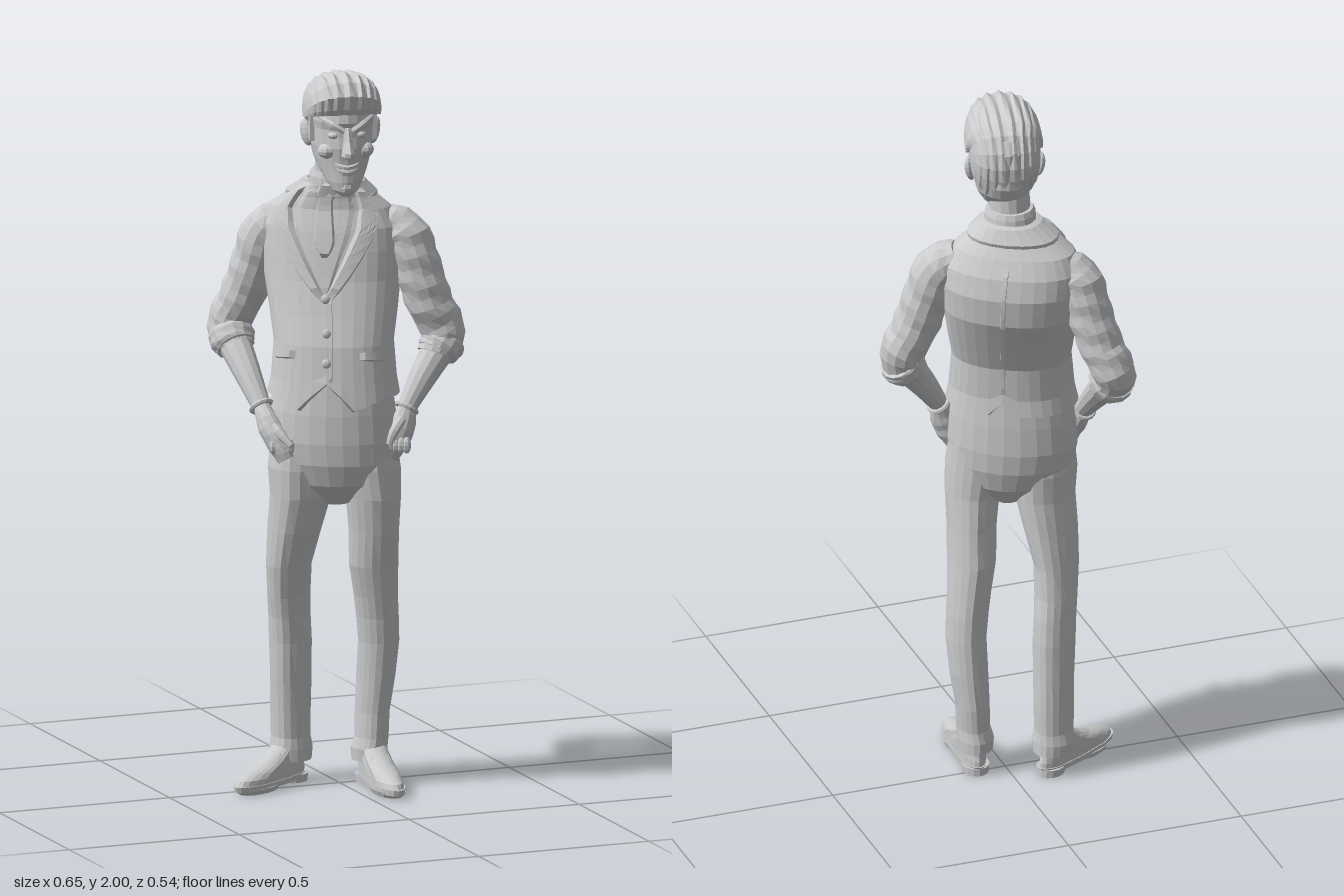
import * as THREE from 'three';

const mat = new THREE.MeshStandardMaterial({ color: 0xcccccc, flatShading: true, side: THREE.DoubleSide });
const V = (x, y, z) => new THREE.Vector3(x, y, z);
const YAW = -0.55, S = Math.sin(YAW), C = Math.cos(YAW);

function add(parent, name, geo) {
  const m = new THREE.Mesh(geo, mat);
  m.name = name;
  parent.add(m);
  return m;
}

// Skin over closed rings of points, with fan caps at both ends
function skin(rings, capped = true) {
  const n = rings[0].length, pos = [], idx = [];
  rings.forEach(r => r.forEach(p => pos.push(p.x, p.y, p.z)));
  for (let i = 0; i < rings.length - 1; i++) for (let j = 0; j < n; j++) {
    const a = i * n + j, b = i * n + (j + 1) % n;
    idx.push(a, b, a + n, b, b + n, a + n);
  }
  if (capped) [0, rings.length - 1].forEach(i => {
    const c = rings[i].reduce((s, p) => s.add(p), V(0, 0, 0)).divideScalar(n), k = pos.length / 3;
    pos.push(c.x, c.y, c.z);
    for (let j = 0; j < n; j++) {
      const a = i * n + j, b = i * n + (j + 1) % n;
      i ? idx.push(k, a, b) : idx.push(k, b, a);
    }
  });
  const g = new THREE.BufferGeometry();
  g.setAttribute('position', new THREE.Float32BufferAttribute(pos, 3));
  g.setIndex(idx);
  g.computeVertexNormals();
  return g;
}

// Horizontal rings from rows [y, cx, cz, rx, rz]; tweak scales the radius by angle and row
function stack(rows, n = 20, yaw = 0, tweak = () => 1) {
  const s = Math.sin(yaw), c = Math.cos(yaw);
  return skin(rows.map(([y, cx, cz, rx, rz], i) => Array.from({ length: n }, (_, j) => {
    const f = j / n * Math.PI * 2, k = tweak(f, i), x = rx * Math.sin(f) * k, z = rz * Math.cos(f) * k;
    return V(cx + x * c + z * s, y, cz - x * s + z * c);
  })));
}

// Limb along a curve through rows [x, y, z, radius]; fold adds cloth wrinkles
function limb(rows, n = 12, steps = 16, fold = 0, flat = 1) {
  const curve = new THREE.CatmullRomCurve3(rows.map(r => V(r[0], r[1], r[2])));
  const fr = curve.computeFrenetFrames(steps);
  return skin(Array.from({ length: steps + 1 }, (_, i) => {
    const t = i / steps, u = t * (rows.length - 1), k = Math.min(Math.floor(u), rows.length - 2);
    const r = THREE.MathUtils.lerp(rows[k][3], rows[k + 1][3], u - k), p = curve.getPoint(t);
    return Array.from({ length: n }, (_, j) => {
      const f = j / n * Math.PI * 2, q = r * (1 + fold * Math.sin(i * 2.3 + f * 2));
      return p.clone().addScaledVector(fr.normals[i], Math.cos(f) * q * flat).addScaledVector(fr.binormals[i], Math.sin(f) * q);
    });
  }));
}

// Torso profile rows: y, cx, cz, half width, half depth
const TORSO = [
  [1.04, -0.04, 0.05, 0.187, 0.132], [1.15, -0.037, 0.05, 0.172, 0.124], [1.25, -0.033, 0.04, 0.164, 0.12],
  [1.33, -0.022, 0.012, 0.175, 0.124], [1.42, -0.012, -0.02, 0.187, 0.13], [1.5, -0.008, -0.033, 0.192, 0.126],
  [1.56, -0.01, -0.036, 0.19, 0.112], [1.61, -0.014, -0.034, 0.166, 0.09], [1.645, -0.015, -0.022, 0.12, 0.078],
  [1.68, -0.015, -0.006, 0.078, 0.072], [1.7, -0.015, 0.0, 0.07, 0.07]];

function torsoPoint(f, y, off = 0) {
  let k = 0;
  while (k < TORSO.length - 2 && TORSO[k + 1][0] < y) k++;
  const A = TORSO[k], B = TORSO[k + 1], t = (y - A[0]) / (B[0] - A[0]);
  const [, cx, cz, a, b] = A.map((v, i) => v + (B[i] - v) * t);
  const sup = v => Math.sign(v) * Math.abs(v) ** 0.88;
  const x = (a + off) * sup(Math.sin(f)), z = (b + off) * sup(Math.cos(f));
  return V(cx + x * C + z * S, y + off * 0.4, cz - x * S + z * C);
}

// Cloth patch on the torso between two edges of [angle, y]; its border tucks into the body
function patch(left, right, off) {
  const at = (e, t) => {
    const u = t * (e.length - 1), k = Math.min(Math.floor(u), e.length - 2);
    return e[k].map((v, i) => v + (e[k + 1][i] - v) * (u - k));
  };
  const g = new THREE.PlaneGeometry(1, 1, 6, 14), p = g.attributes.position;
  for (let i = 0; i < p.count; i++) {
    const u = p.getX(i) + 0.5, v = p.getY(i) + 0.5, l = at(left, v), r = at(right, v);
    const edge = Math.min(u, 1 - u, v, 1 - v) < 0.01;
    const q = torsoPoint(l[0] + (r[0] - l[0]) * u, l[1] + (r[1] - l[1]) * u, edge ? -0.002 : off);
    p.setXYZ(i, q.x, q.y, q.z);
  }
  g.computeVertexNormals();
  return g;
}
const flip = e => e.map(([f, y]) => [-f, y]);

function buildTorso(g) {
  // Waistcoat with pointed front hem and a notch at the back
  const hem = f => {
    const d = Math.abs(f > Math.PI ? f - 2 * Math.PI : f);
    if (d < 0.4) return 1.15 - d / 0.4 * 0.075;
    return d > 2.95 ? 1.145 : 1.075 + Math.min(1, (d - 0.4) / 0.5) * 0.03;
  };
  const ys = [1.2, 1.25, 1.29, 1.33, 1.375, 1.42, 1.46, 1.5, 1.53, 1.56, 1.585, 1.61, 1.628, 1.645, 1.663, 1.68];
  const ring = (yf, off) => Array.from({ length: 32 }, (_, j) => torsoPoint(j / 16 * Math.PI, yf(j / 16 * Math.PI), off));
  add(g, 'waistcoat', skin([ring(hem, -0.02), ring(hem, 0.003), ring(f => (hem(f) + 1.2) / 2, 0), ...ys.map(y => ring(() => y, 0))]));
  // Shirt opening, tie, lapels and collar
  const inner = [[0, 1.38], [0.25, 1.5], [0.5, 1.6], [0.75, 1.675]];
  add(g, 'shirtFront', patch(flip(inner), inner, 0.003));
  const tie = [[0.02, 1.48], [0.13, 1.52], [0.12, 1.6], [0.12, 1.64], [0.24, 1.655], [0.24, 1.69]];
  add(g, 'tie', patch(flip(tie), tie, 0.012));
  const lapel = [[0.04, 1.36], [0.4, 1.45], [0.8, 1.56], [0.95, 1.6], [0.78, 1.605], [0.95, 1.635], [1.2, 1.67]];
  add(g, 'leftLapel', patch(inner, lapel, 0.01));
  add(g, 'rightLapel', patch(flip(inner), flip(lapel), 0.01));
  add(g, 'backCollar', patch([[1.1, 1.64], [3.14, 1.635], [5.18, 1.64]], [[1.1, 1.69], [3.14, 1.69], [5.18, 1.69]], 0.009));
  add(g, 'shirtCollar', stack([[1.65, -0.015, 0, 0.074, 0.074], [1.7, -0.016, 0.003, 0.07, 0.068], [1.715, -0.016, 0.004, 0.064, 0.063]], 16, YAW));
  // Front edge, back seam, pocket welts and buttons
  add(g, 'frontEdge', patch([[0.03, 1.15], [0.03, 1.38]], [[0.07, 1.15], [0.07, 1.38]], 0.004));
  add(g, 'backSeam', patch([[3.12, 1.16], [3.12, 1.6]], [[3.17, 1.16], [3.17, 1.6]], 0.003));
  for (const s of [-1, 1]) add(g, 'pocketWelt', patch([[s * 0.5, 1.215], [s * 0.5, 1.238]], [[s * 1.1, 1.205], [s * 1.1, 1.228]], 0.008));
  for (const y of [1.375, 1.285, 1.205]) {
    const b = add(g, 'button', new THREE.SphereGeometry(0.013, 10, 6));
    b.position.copy(torsoPoint(0, y, 0.005));
    b.scale.z = 0.6;
    b.rotation.y = YAW;
  }
}

function buildLegs(g) {
  add(g, 'trouserSeat', stack([[0.8, -0.03, 0.055, 0.04, 0.05], [0.86, -0.032, 0.055, 0.135, 0.1], [0.92, -0.036, 0.053, 0.172, 0.118],
    [0.98, -0.04, 0.05, 0.18, 0.123], [1.06, -0.04, 0.05, 0.174, 0.12], [1.17, -0.037, 0.05, 0.156, 0.11]], 24, YAW));
  // Trouser legs with a pressed crease front and back
  const crease = (f, i) => 1 + 0.07 * Math.abs(Math.cos(f)) ** 12 + 0.018 * Math.sin(i * 2.1 + f * 3);
  add(g, 'leftTrouserLeg', stack([[0.065, 0.08, 0.02, 0.048, 0.058], [0.1, 0.079, 0.02, 0.05, 0.06], [0.13, 0.084, 0.023, 0.046, 0.055],
    [0.2, 0.088, 0.021, 0.047, 0.057], [0.3, 0.095, 0.03, 0.053, 0.059], [0.4, 0.098, 0.04, 0.056, 0.06], [0.47, 0.093, 0.047, 0.058, 0.063],
    [0.53, 0.085, 0.054, 0.06, 0.067], [0.62, 0.072, 0.066, 0.067, 0.074], [0.72, 0.067, 0.085, 0.068, 0.08], [0.82, 0.06, 0.098, 0.075, 0.085],
    [0.9, 0.05, 0.095, 0.083, 0.088], [0.98, 0.045, 0.09, 0.08, 0.085]], 20, -0.15, crease));
  add(g, 'rightTrouserLeg', stack([[0.065, -0.117, -0.066, 0.058, 0.058], [0.1, -0.117, -0.067, 0.06, 0.058], [0.13, -0.116, -0.066, 0.054, 0.054],
    [0.2, -0.117, -0.065, 0.055, 0.057], [0.3, -0.119, -0.061, 0.056, 0.06], [0.4, -0.121, -0.056, 0.058, 0.062], [0.47, -0.126, -0.05, 0.057, 0.064],
    [0.53, -0.133, -0.042, 0.058, 0.066], [0.62, -0.138, -0.025, 0.061, 0.074], [0.72, -0.13, -0.005, 0.073, 0.082], [0.82, -0.12, 0.012, 0.084, 0.088],
    [0.9, -0.12, 0.014, 0.088, 0.092], [0.98, -0.12, 0.015, 0.08, 0.085]], 20, -0.7, crease));
  // Shoes: heel, sole, upper and lace flap
  for (const [name, x, z, yaw] of [['leftShoe', 0.082, 0.02, -0.07], ['rightShoe', -0.115, -0.068, -1.02]]) {
    const shoe = new THREE.Group();
    shoe.name = name;
    shoe.position.set(x, 0, z);
    shoe.rotation.y = yaw;
    g.add(shoe);
    const waist = f => 1 - 0.13 * Math.abs(Math.sin(f)) * (Math.cos(f) < 0.3 && Math.cos(f) > -0.6 ? 1 : 0);
    add(shoe, 'sole', stack([[0.01, 0, 0.1, 0.046, 0.148], [0.026, 0, 0.098, 0.047, 0.154]], 24, 0, waist));
    add(shoe, 'heel', stack([[0, 0, -0.012, 0.036, 0.042], [0.022, 0, -0.012, 0.038, 0.042]], 14));
    add(shoe, 'toeTread', stack([[0, 0, 0.15, 0.038, 0.075], [0.015, 0, 0.15, 0.044, 0.09]], 16));
    add(shoe, 'upper', stack([[0.022, 0, 0.098, 0.044, 0.149], [0.04, 0, 0.092, 0.044, 0.143], [0.055, 0, 0.075, 0.043, 0.122],
      [0.07, 0, 0.05, 0.042, 0.094], [0.088, 0, 0.03, 0.04, 0.07], [0.11, 0, 0.012, 0.037, 0.048]], 24, 0, waist));
    const flap = add(shoe, 'laceFlap', new THREE.BoxGeometry(0.05, 0.008, 0.06));
    flap.position.set(0, 0.074, 0.105);
    flap.rotation.x = 0.5;
  }
}

function buildArm(g, side, upper, fore, hand, thumb) {
  const arm = new THREE.Group();
  arm.name = side + 'Arm';
  g.add(arm);
  add(arm, 'sleeve', limb(upper, 14, 18, 0.045));
  // Rolled cuff around the forearm below the elbow
  const a = V(...fore[0]), b = V(...fore[1]), p = t => a.clone().lerp(b, t).toArray();
  add(arm, 'rolledCuff', limb([[...p(0.02), 0.058], [...p(0.13), 0.064], [...p(0.3), 0.062], [...p(0.42), 0.054]], 14, 5, 0.03));
  add(arm, 'forearm', limb(fore, 12, 10));
  const w = V(...fore[2]), d = w.clone().sub(b).normalize();
  const band = add(arm, 'wristBand', new THREE.TorusGeometry(0.029, 0.007, 6, 16));
  band.position.copy(w);
  band.quaternion.setFromUnitVectors(V(0, 0, 1), d);
  add(arm, 'hand', limb(hand, 12, 8, 0.03, 0.8));
  add(arm, 'thumb', limb(thumb, 8, 6));
  const h = V(...hand[2]);
  for (let i = -1.5; i < 2; i++) {
    const k = add(arm, 'knuckle', new THREE.SphereGeometry(0.013, 8, 6));
    k.position.set(h.x + i * 0.015 * C, h.y - 0.005, h.z - i * 0.015 * S + 0.025);
    k.scale.y = 1.8;
  }
}

function buildHead(g) {
  add(g, 'neck', stack([[1.64, -0.015, 0, 0.06, 0.06], [1.71, -0.016, 0.006, 0.056, 0.056], [1.79, -0.015, 0.018, 0.056, 0.06]], 16));
  const head = new THREE.Group();
  head.name = 'head';
  head.position.set(-0.011, 0, 0.037);
  head.rotation.y = -0.22;
  g.add(head);
  // Skull narrowing to a long pointed jaw
  add(head, 'face', stack([[1.668, 0, 0.082, 0.02, 0.02], [1.68, 0, 0.073, 0.036, 0.035], [1.705, 0, 0.052, 0.052, 0.059], [1.735, 0, 0.026, 0.067, 0.084],
    [1.765, 0, 0.01, 0.078, 0.103], [1.8, 0, 0.004, 0.085, 0.114], [1.83, 0, 0.002, 0.087, 0.112], [1.85, 0, 0.002, 0.087, 0.112],
    [1.872, 0, 0.004, 0.089, 0.121], [1.91, 0, 0, 0.088, 0.119], [1.945, 0, 0, 0.075, 0.1]], 22));
  // Swept-back hair: arches from the quiff to the nape, grooved into locks
  const R = [[12, 0.124], [18, 0.142], [29, 0.172], [44, 0.168], [60, 0.15], [78, 0.13], [95, 0.122], [115, 0.124], [135, 0.126],
    [158, 0.123], [180, 0.122], [200, 0.121], [218, 0.124], [236, 0.134], [240, 0.11]];
  const m = 36, hair = new THREE.PlaneGeometry(1, 1, m, R.length - 1), p = hair.attributes.position;
  R.forEach(([deg, r], i) => {
    const a = deg * Math.PI / 180, w = i < 8 ? 0.106 : 0.097;
    for (let j = 0; j <= m; j++) {
      const s = (j / m - 0.5) * Math.PI, groove = 1 + 0.035 * Math.sin(j * 2.1 + i * 0.45) * Math.cos(s);
      const q = r * Math.cos(s) ** 0.75 * groove;
      p.setXYZ(i * (m + 1) + j, w * Math.sign(s) * Math.abs(Math.sin(s)) ** 0.85, 1.87 + q * Math.sin(a), q * Math.cos(a));
    }
  });
  hair.computeVertexNormals();
  add(head, 'hair', hair);
  // Long pointed nose
  add(head, 'nose', stack([[1.775, 0, 0.115, 0.012, 0.02], [1.783, 0, 0.125, 0.02, 0.034], [1.795, 0, 0.125, 0.018, 0.039],
    [1.825, 0, 0.115, 0.012, 0.028], [1.86, 0, 0.11, 0.011, 0.014]], 8));
  // Grin: teeth framed by two lips, with chin
  const grin = (y, dip, z) => [-1, -0.5, 0, 0.5, 1].map(t => [t * 0.05, y + dip * t * t, z - 0.04 * t * t, 0.0055 * (1.3 - t * t)]);
  add(head, 'upperLip', limb(grin(1.748, 0.022, 0.114), 6, 12));
  add(head, 'lowerLip', limb(grin(1.718, 0.05, 0.103), 6, 12));
  add(head, 'teeth', limb(grin(1.733, 0.036, 0.102).map(r => [r[0], r[1], r[2], r[3] * 2]), 8, 12));
  const chin = add(head, 'chin', new THREE.SphereGeometry(0.026, 10, 8));
  chin.position.set(0, 1.688, 0.087);
  for (const s of [-1, 1]) {
    const brow = add(head, 'brow', limb([[s * 0.01, 1.85, 0.122, 0.008], [s * 0.04, 1.868, 0.113, 0.01], [s * 0.076, 1.886, 0.075, 0.004]], 6, 8));
    brow.name = s > 0 ? 'leftBrow' : 'rightBrow';
    const eye = add(head, 'eye', new THREE.SphereGeometry(0.017, 10, 8));
    eye.position.set(s * 0.036, 1.836, 0.095);
    eye.scale.y = 0.6;
    const cheek = add(head, 'cheek', new THREE.SphereGeometry(0.028, 10, 8));
    cheek.position.set(s * 0.05, 1.79, 0.078);
    cheek.scale.y = 0.8;
    const ear = add(head, 'ear', new THREE.SphereGeometry(0.036, 10, 8));
    ear.position.set(s * 0.094, 1.825, -0.005);
    ear.scale.set(0.4, 1.05, 0.65);
    ear.rotation.set(-0.2, s * -0.4, s * -0.2);
    const burn = add(head, 'sideburn', new THREE.BoxGeometry(0.012, 0.08, 0.03));
    burn.position.set(s * 0.086, 1.85, 0.027);
  }
}

export function createModel() {
  const g = new THREE.Group();
  g.name = 'standingMan';
  buildTorso(g);
  buildLegs(g);
  buildArm(g, 'left',
    [[0.115, 1.575, 0.035, 0.045], [0.165, 1.535, 0.065, 0.066], [0.195, 1.44, 0.085, 0.066], [0.225, 1.34, 0.1, 0.064], [0.262, 1.26, 0.108, 0.062], [0.235, 1.2, 0.12, 0.052]],
    [[0.27, 1.245, 0.108, 0.05], [0.19, 1.145, 0.135, 0.038], [0.137, 1.065, 0.15, 0.026]],
    [[0.137, 1.065, 0.15, 0.026], [0.122, 1.02, 0.157, 0.038], [0.1, 0.975, 0.155, 0.04], [0.08, 0.93, 0.145, 0.028]],
    [[0.115, 1.04, 0.17, 0.014], [0.085, 1.01, 0.185, 0.014], [0.07, 0.975, 0.185, 0.009]]);
  buildArm(g, 'right',
    [[-0.115, 1.575, -0.1, 0.045], [-0.163, 1.535, -0.13, 0.064], [-0.187, 1.44, -0.153, 0.063], [-0.213, 1.34, -0.18, 0.062], [-0.243, 1.26, -0.205, 0.06], [-0.24, 1.2, -0.16, 0.052]],
    [[-0.245, 1.245, -0.2, 0.05], [-0.235, 1.15, -0.095, 0.038], [-0.223, 1.065, -0.015, 0.026]],
    [[-0.223, 1.065, -0.015, 0.026], [-0.217, 1.02, 0.022, 0.038], [-0.2, 0.975, 0.05, 0.04], [-0.185, 0.93, 0.07, 0.028]],
    [[-0.22, 1.04, 0.015, 0.014], [-0.208, 1.01, 0.07, 0.014], [-0.185, 0.975, 0.105, 0.009]]);
  buildHead(g);
  return g;
}
